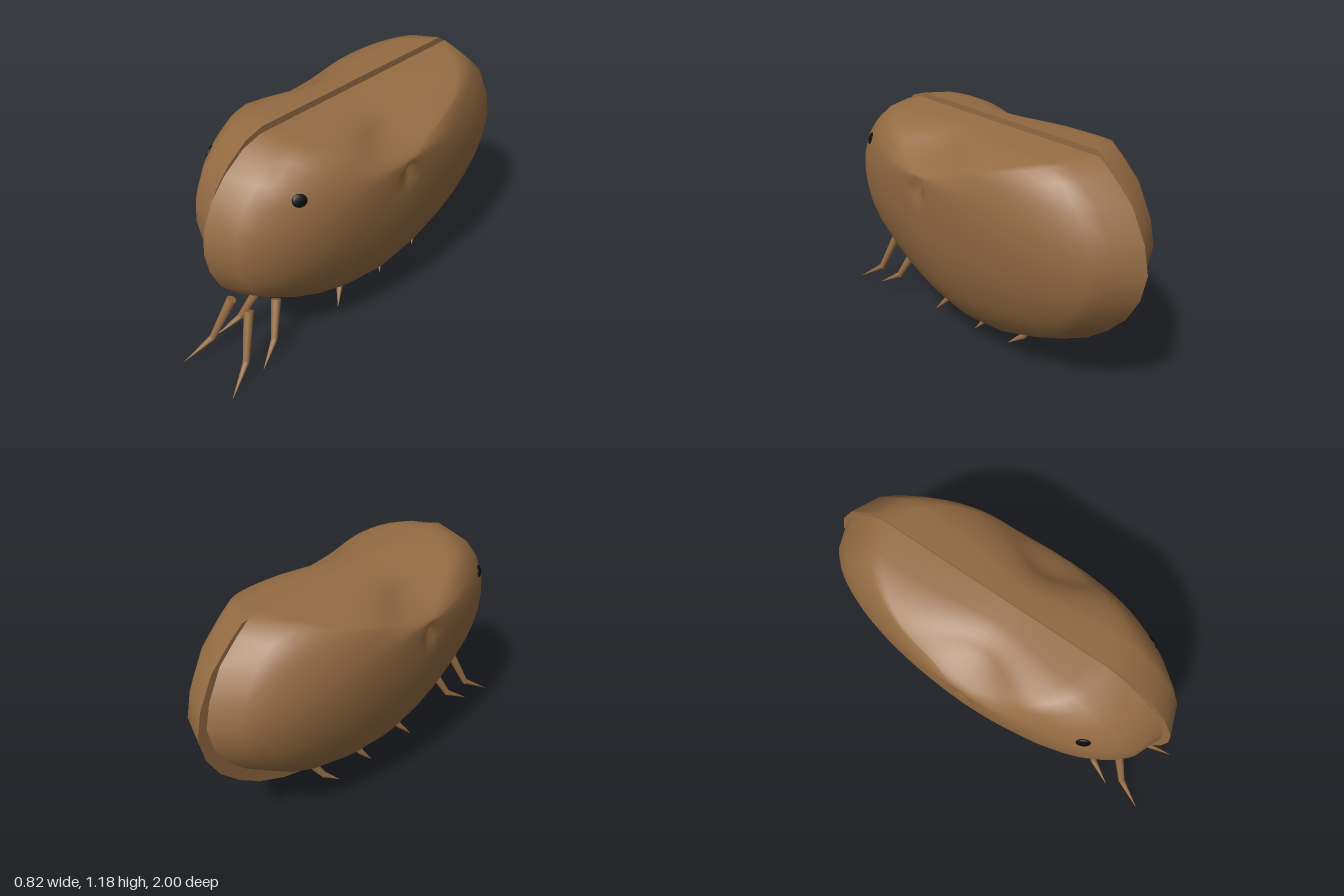
import * as THREE from 'three';

const shellBrown = new THREE.MeshStandardMaterial({ color: 0x956c43 });
shellBrown.name = 'shellBrown';
const eyeBlack = new THREE.MeshStandardMaterial({ color: 0x0a0a0a });
eyeBlack.name = 'eyeBlack';

// Valve rim as [z, y], from the front over the hinge to the back and underneath
const FRONT = [[0.94, 0.72], [0.93, 0.83], [0.87, 0.96], [0.79, 1.05], [0.68, 1.13]];
const REST = [[-0.78, 1.1], [-0.89, 1.0], [-0.97, 0.85], [-1, 0.72], [-0.97, 0.59], [-0.9, 0.47],
  [-0.8, 0.37], [-0.68, 0.28], [-0.52, 0.2], [-0.27, 0.12], [0, 0.09], [0.25, 0.13], [0.42, 0.19],
  [0.6, 0.28], [0.78, 0.4], [0.87, 0.5], [0.92, 0.61]];
const hinge = [];
for (let i = 0; i <= 16; i++) hinge.push([0.58 - (1.28 * i) / 16, 1.16]);
const RIM = [...FRONT, ...hinge, ...REST];
const APEX = [0.06, 0.95];
const RINGS = 16, DEPTH = 0.405, GAP = 0.007;

// Valley between the front and rear lobes, plus the small pit below it
function furrow(z, y) {
  const dz = z - APEX[0];
  const valley = 0.3 * Math.exp(-((dz / 0.22) ** 2)) * THREE.MathUtils.smoothstep(y, 0.95, 1.08);
  const pit = 0.07 * Math.exp(-((dz / 0.03) ** 2) - ((y - 0.89) / 0.045) ** 2);
  return 1 - valley - pit;
}

function makeGeometry(positions, indices) {
  const g = new THREE.BufferGeometry();
  g.setAttribute('position', new THREE.Float32BufferAttribute(positions, 3));
  g.setIndex(indices);
  g.computeVertexNormals();
  return g;
}

// One domed valve with a flat inner face; side is +1 for left, -1 for right
function makeValve(side, scale, lift) {
  const n = RIM.length;
  const place = (x, y, z) => [side * (x + GAP), y * scale + lift, z * scale];
  const pos = place(DEPTH, APEX[1], APEX[0]);
  const idx = [];
  const tri = (a, b, c) => (side > 0 ? idx.push(a, c, b) : idx.push(a, b, c));
  for (let k = 1; k <= RINGS; k++) {
    const r = k / RINGS;
    for (let i = 0; i < n; i++) {
      const z = APEX[0] + (RIM[i][0] - APEX[0]) * r;
      const y = APEX[1] + (RIM[i][1] - APEX[1]) * r;
      pos.push(...place(DEPTH * Math.sqrt(1 - r * r) * furrow(z, y), y, z));
      const j = (i + 1) % n, outer = 1 + (k - 1) * n, inner = outer - n;
      if (k === 1) tri(0, outer + i, outer + j);
      else {
        tri(inner + i, outer + i, outer + j);
        tri(inner + i, outer + j, inner + j);
      }
    }
  }
  const dome = new THREE.Mesh(makeGeometry(pos, idx), shellBrown);
  dome.name = 'valveDome';

  // Flat face beside the gap
  const capPos = place(0, APEX[1], APEX[0]);
  const capIdx = [];
  RIM.forEach(([z, y], i) => {
    capPos.push(...place(0, y, z));
    const a = 1 + i, b = 1 + ((i + 1) % n);
    if (side > 0) capIdx.push(0, a, b);
    else capIdx.push(0, b, a);
  });
  const face = new THREE.Mesh(makeGeometry(capPos, capIdx), shellBrown);
  face.name = 'valveInnerFace';

  const valve = new THREE.Group();
  valve.name = side > 0 ? 'leftValve' : 'rightValve';
  valve.add(dome, face);
  return valve;
}

// Tapered rod between two points
function rod(a, b, ra, rb, name) {
  const from = new THREE.Vector3(...a), to = new THREE.Vector3(...b);
  const dir = to.clone().sub(from);
  const mesh = new THREE.Mesh(new THREE.CylinderGeometry(rb, ra, dir.length(), 10), shellBrown);
  mesh.position.copy(from).add(to).multiplyScalar(0.5);
  mesh.quaternion.setFromUnitVectors(new THREE.Vector3(0, 1, 0), dir.normalize());
  mesh.name = name;
  return mesh;
}

// Hip, knee and tip of each leg on the left side, as [x, y, z]
const LEGS = [
  [[0.06, 0.32, 0.77], [0.12, 0.1, 0.86], [0.175, 0.005, 1]],
  [[0.06, 0.28, 0.6], [0.12, 0.115, 0.68], [0.17, 0.04, 0.8]],
  [[0.06, 0.3, 0.13], [0.12, 0.15, 0.225], [0.16, 0.08, 0.28]],
  [[0.06, 0.31, -0.18], [0.12, 0.16, -0.09], [0.155, 0.1, -0.045]],
  [[0.06, 0.33, -0.46], [0.12, 0.19, -0.37], [0.16, 0.14, -0.305]],
];

export function createModel() {
  const model = new THREE.Group();
  model.name = 'shelledCrustacean';
  model.add(makeValve(1, 1, 0), makeValve(-1, 0.958, 0.069));

  for (const side of [1, -1]) {
    const label = side > 0 ? 'left' : 'right';

    // Jointed legs
    LEGS.forEach((points, i) => {
      const [hip, knee, tip] = points.map(([x, y, z]) => [side * x, y, z]);
      const leg = new THREE.Group();
      leg.name = `${label}Leg${i + 1}`;
      leg.add(rod(hip, knee, 0.024, 0.016, 'upperLeg'), rod(knee, tip, 0.016, 0.001, 'lowerLeg'));
      model.add(leg);
    });

    // Thin eye spot lying on the shell
    const eye = new THREE.Mesh(new THREE.SphereGeometry(1, 12, 8), eyeBlack);
    eye.name = `${label}Eye`;
    eye.scale.set(0.034, 0.03, 0.0095);
    eye.position.set(side * 0.286, 0.974, 0.633);
    const normal = new THREE.Vector3(side, side > 0 ? 0.4 : 0.26, 0.52).normalize();
    eye.quaternion.setFromUnitVectors(new THREE.Vector3(0, 0, 1), normal);
    model.add(eye);
  }
  return model;
}
